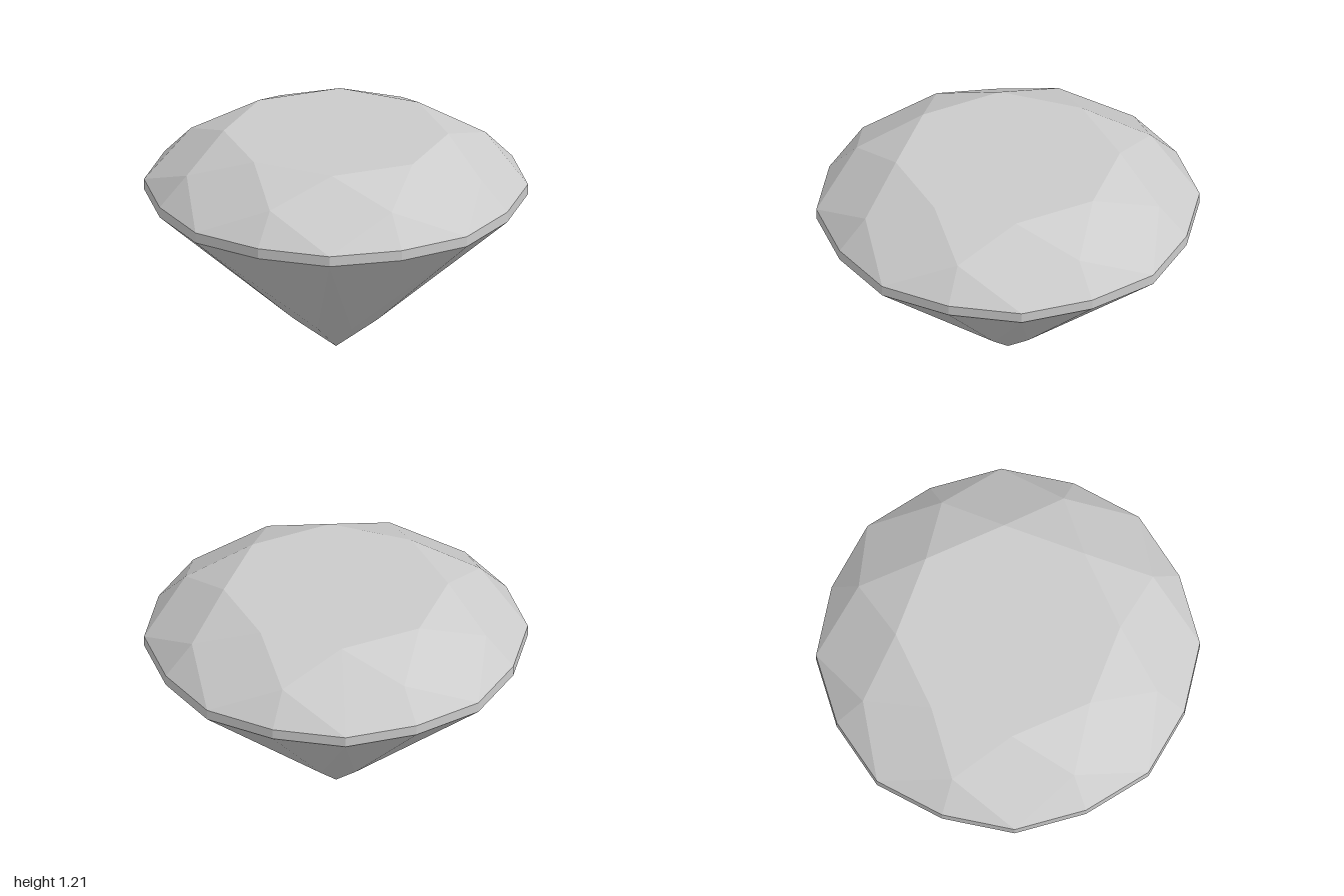
import * as THREE from 'three';

const SIDES = 8;
const STEP = Math.PI / SIDES; // half a main facet

// Point on a ring; k counts half facets around the stone.
const at = (r, y, k) => [r * Math.sin(k * STEP), y, r * Math.cos(k * STEP)];

function facetMesh(name, triangles) {
  const geometry = new THREE.BufferGeometry();
  geometry.setAttribute('position', new THREE.Float32BufferAttribute(triangles.flat(2), 3));
  geometry.computeVertexNormals();
  const material = new THREE.MeshStandardMaterial({ color: 0xcccccc, flatShading: true });
  const mesh = new THREE.Mesh(geometry, material);
  mesh.name = name;
  return mesh;
}

export function createModel() {
  const tablePt = k => at(0.585, 1.21, k);
  const crownPt = k => at(0.83, 1.087, k);
  const rim = (y, k) => at(k % 2 ? 0.98 : 1, y, k);
  const top = k => rim(0.93, k);
  const bottom = k => rim(0.874, k);
  const pavilionPt = k => at(0.235, 0.19, k);
  const culetPt = [0, 0, 0];
  const centre = [0, 1.21, 0];

  const table = [], crown = [], girdle = [], pavilion = [];
  for (let i = 0; i < SIDES; i++) {
    const a = 2 * i, m = a + 1, b = a + 2; // main, between, next main
    table.push([tablePt(a), tablePt(b), centre]);
    crown.push(
      [crownPt(m), tablePt(b), tablePt(a)], // star
      [top(a), crownPt(m), tablePt(a)], // kite halves
      [top(b), tablePt(b), crownPt(m)],
      [top(a), top(m), crownPt(m)], // upper girdle facets
      [top(m), top(b), crownPt(m)]
    );
    for (const k of [a, m]) {
      girdle.push(
        [bottom(k), bottom(k + 1), top(k + 1)],
        [bottom(k), top(k + 1), top(k)]
      );
    }
    pavilion.push(
      [culetPt, pavilionPt(m), bottom(a)], // long kite halves
      [culetPt, bottom(b), pavilionPt(m)],
      [pavilionPt(m), bottom(m), bottom(a)], // lower girdle facets
      [pavilionPt(m), bottom(b), bottom(m)]
    );
  }

  const gem = new THREE.Group();
  gem.name = 'cutGem';
  gem.add(
    facetMesh('table', table),
    facetMesh('crown', crown),
    facetMesh('girdle', girdle),
    facetMesh('pavilion', pavilion)
  );
  return gem;
}
